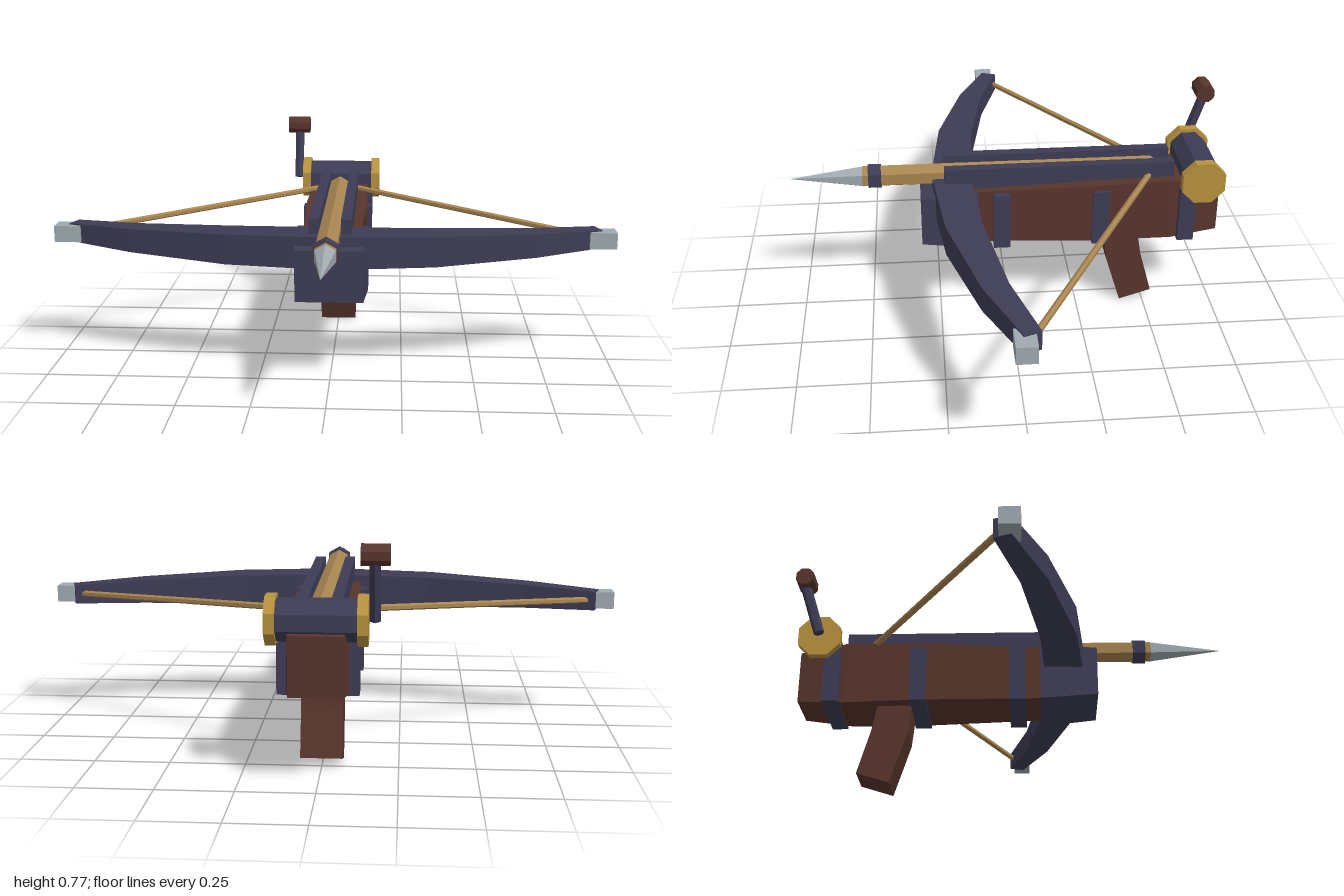
import * as THREE from 'three';

const mat = (name, color) => Object.assign(new THREE.MeshStandardMaterial({ color }), { name });

// Give every face its own normal, for the faceted low-poly look
function facet(geometry) {
  const g = geometry.index ? geometry.toNonIndexed() : geometry;
  g.computeVertexNormals();
  return g;
}

// Skin a list of four-cornered rings (counter-clockwise seen from the last ring)
function loft(rings) {
  const pos = [];
  const quad = (a, b, c, d) => pos.push(...a, ...b, ...c, ...a, ...c, ...d);
  for (let i = 0; i < rings.length - 1; i++) {
    for (let j = 0; j < 4; j++) {
      const k = (j + 1) % 4;
      quad(rings[i][j], rings[i][k], rings[i + 1][k], rings[i + 1][j]);
    }
  }
  const first = rings[0], last = rings[rings.length - 1];
  quad(first[3], first[2], first[1], first[0]);
  quad(...last);
  const g = new THREE.BufferGeometry();
  g.setAttribute('position', new THREE.Float32BufferAttribute(pos, 3));
  return facet(g);
}

// Rectangular ring across the z axis
const ringZ = ([z, w, y0, y1]) => [[-w, y0, z], [w, y0, z], [w, y1, z], [-w, y1, z]];

export function createModel() {
  const model = new THREE.Group();
  model.name = 'crossbow';
  const wood = mat('dark wood', 0x57352c);
  const metal = mat('dark metal', 0x3e3c55);
  const brass = mat('brass', 0xb8923f);
  const paleWood = mat('pale wood', 0xa88550);
  const steel = mat('steel', 0xa0aab0);

  const add = (name, geometry, material) => {
    const mesh = new THREE.Mesh(geometry, material);
    mesh.name = name;
    model.add(mesh);
    return mesh;
  };
  // Box given by its minimum and maximum on each axis
  const box = (name, material, x0, x1, y0, y1, z0, z1) =>
    add(name, new THREE.BoxGeometry(x1 - x0, y1 - y0, z1 - z0), material)
      .position.set((x0 + x1) / 2, (y0 + y1) / 2, (z0 + z1) / 2);
  // Faceted rod between two points
  const rod = (name, material, from, to, r0, r1, sides, turn = 0) => {
    const a = new THREE.Vector3(...from), b = new THREE.Vector3(...to);
    const dir = b.clone().sub(a);
    const g = new THREE.CylinderGeometry(r1, r0, dir.length(), sides);
    g.rotateY(turn);
    const mesh = add(name, facet(g), material);
    mesh.position.copy(a).add(b).multiplyScalar(0.5);
    mesh.quaternion.setFromUnitVectors(new THREE.Vector3(0, 1, 0), dir.normalize());
  };

  // Stock, nose block and bands
  add('stock', loft([
    [-0.75, 0.085, 0.305, 0.495], [-0.58, 0.108, 0.29, 0.52],
    [-0.3, 0.116, 0.294, 0.515], [0.12, 0.098, 0.302, 0.5],
  ].map(ringZ)), wood);
  add('noseBlock', loft([[0.108, 0.128, 0.29, 0.5], [0.31, 0.116, 0.308, 0.488]].map(ringZ)), metal);
  for (const z of [0.028, -0.322, -0.63]) {
    box('band', metal, -0.128, 0.128, 0.288, 0.495, z - 0.029, z + 0.029);
  }

  // Angled grip: height and depth of its back and front edges
  add('grip', loft([
    [0.31, -0.465, 0.31, -0.345], [0.2, -0.485, 0.19, -0.357], [0.04, -0.53, 0.004, -0.415],
  ].map(([yb, zb, yf, zf]) =>
    [[-0.068, yb, zb], [0.068, yb, zb], [0.068, yf, zf], [-0.068, yf, zf]])), wood);

  // Rails beside the bolt
  for (const s of [-1, 1]) {
    box('rail', metal, s * 0.055 - 0.018, s * 0.055 + 0.018, 0.48, 0.576, -0.585, 0.225);
  }

  // Curved bow: back x and z, front x and z, half height
  const half = [
    [0, 0.13, 0, 0.27, 0.057], [0.34, 0.11, 0.36, 0.232, 0.053],
    [0.69, 0.05, 0.71, 0.135, 0.042], [0.93, -0.025, 0.95, 0.03, 0.033],
  ];
  const left = half.slice(1).reverse().map(([a, b, c, d, h]) => [-a, b, -c, d, h]);
  add('bow', loft([...left, ...half].map(([xb, zb, xf, zf, h]) => [
    [xf, 0.467 - h, zf], [xb, 0.467 - h, zb], [xb, 0.467 + h, zb], [xf, 0.467 + h, zf],
  ])), metal);

  // Bow tips and string
  for (const s of [-1, 1]) {
    box('bowTip', steel, s * 0.9525 - 0.0475, s * 0.9525 + 0.0475, 0.437, 0.496, -0.008, 0.058);
    rod('bowString', paleWood, [s * 0.91, 0.468, -0.005], [0, 0.53, -0.535], 0.011, 0.011, 6);
  }

  // Bolt
  const bolt = (name, material, z0, z1, r0, r1) =>
    rod(name, material, [0, 0.528, z0], [0, 0.528, z1], r0, r1, 6);
  bolt('boltShaft', paleWood, -0.51, 0.51, 0.04, 0.04);
  bolt('boltNock', paleWood, -0.535, -0.51, 0.022, 0.04);
  bolt('boltCollar', metal, 0.445, 0.49, 0.047, 0.047);
  bolt('boltHead', steel, 0.505, 0.765, 0.04, 0, 6);

  // Winch drum with end discs
  const eighth = Math.PI / 8;
  rod('winchDrum', metal, [-0.125, 0.53, -0.675], [0.125, 0.53, -0.675], 0.068, 0.068, 8, eighth);
  for (const s of [-1, 1]) {
    rod('winchDisc', brass, [s * 0.123, 0.53, -0.675], [s * 0.156, 0.53, -0.675], 0.081, 0.081, 8, eighth);
  }

  // Crank
  rod('crankArm', metal, [-0.175, 0.53, -0.673], [-0.175, 0.735, -0.738], 0.019, 0.019, 6);
  rod('crankHandle', wood, [-0.22, 0.738, -0.73], [-0.133, 0.738, -0.73], 0.034, 0.034, 8, eighth);
  return model;
}
